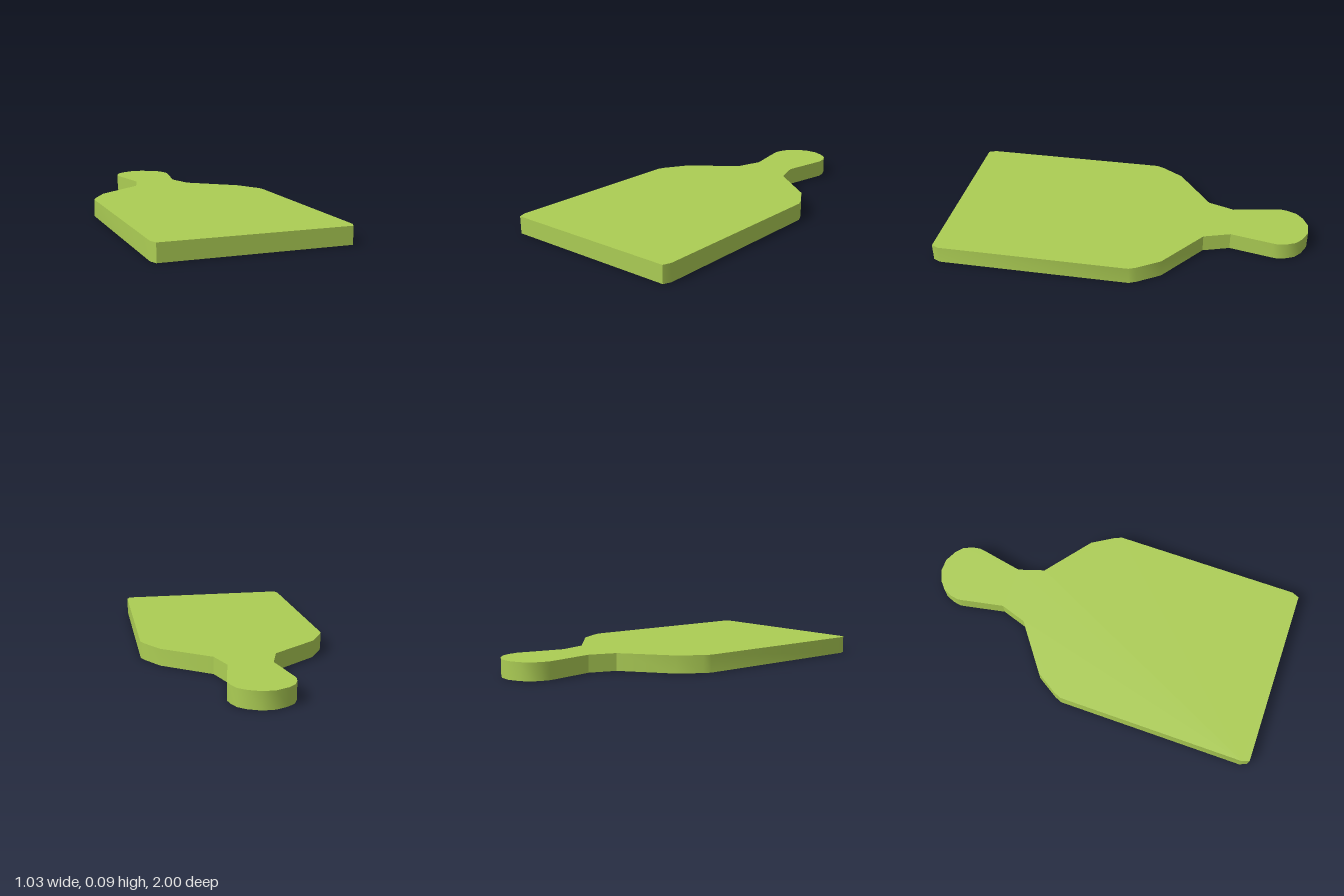
import * as THREE from 'three';
import { toCreasedNormals } from 'three/addons/utils/BufferGeometryUtils.js';

// Right half of the outline, [x, z], from the front edge to the handle tip
const HALF = [
  [0.5, 1], [0.517, 0.96],                                  // clipped front corner
  [0.517, -0.08], [0.5, -0.12], [0.425, -0.24],             // shoulder
  [0.167, -0.435], [0.12, -0.58],                           // neck
  [0.165, -0.81], [0.17, -0.84], [0.162, -0.885],           // rounded grip
  [0.14, -0.935], [0.1, -0.97], [0.035, -1],
];
const THICKNESS = 0.095;

export function createModel() {
  const group = new THREE.Group();
  group.name = 'cuttingBoard';

  // Mirror the half outline; shape y is -z
  const right = HALF.map(([x, z]) => new THREE.Vector2(x, -z));
  const left = HALF.map(([x, z]) => new THREE.Vector2(-x, -z)).reverse();
  const shape = new THREE.Shape([...right, ...left]);

  // Board and handle in one slab, with sharp rims and softly shaded curves
  const slab = new THREE.ExtrudeGeometry(shape, { depth: THICKNESS, bevelEnabled: false });
  slab.rotateX(-Math.PI / 2);
  const board = new THREE.Mesh(
    toCreasedNormals(slab, 0.5),
    new THREE.MeshStandardMaterial({ color: 0xaccd54 })
  );
  board.name = 'boardWithHandle';
  group.add(board);
  return group;
}
